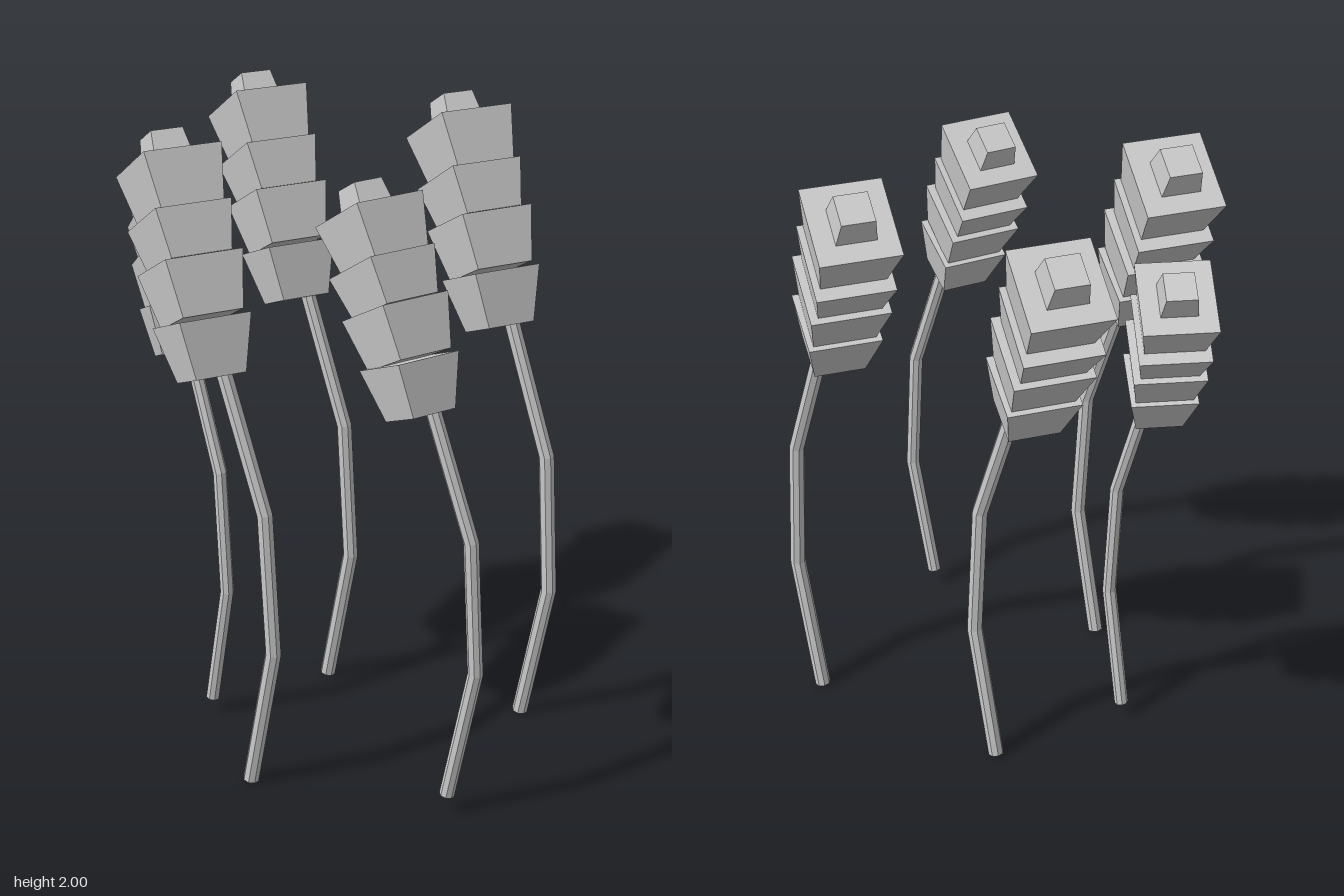
import * as THREE from 'three';

const material = new THREE.MeshStandardMaterial({ color: 0xcccccc, flatShading: true });

// Path made of straight pieces, sampled exactly at its corners
class BentPath extends THREE.Curve {
  constructor(points) {
    super();
    this.points = points;
  }
  getUtoTmapping(u) {
    return u;
  }
  getPoint(t, target = new THREE.Vector3()) {
    const n = this.points.length - 1;
    const i = Math.min(n - 1, Math.max(0, Math.floor(t * n)));
    return target.lerpVectors(this.points[i], this.points[i + 1], t * n - i);
  }
}

// Bent eight-sided stem with closed ends
function createStem() {
  const points = [[0, 0.005, 0], [0.045, 0.466, 0.077], [0.032, 0.92, 0.057], [-0.044, 1.37, -0.065]]
    .map(p => new THREE.Vector3(...p));
  const section = [];
  for (let i = 0; i < 8; i++) {
    const a = (i / 8) * Math.PI * 2;
    section.push(new THREE.Vector2(Math.cos(a) * 0.025, Math.sin(a) * 0.025));
  }
  const geometry = new THREE.ExtrudeGeometry(new THREE.Shape(section), {
    steps: points.length - 1, bevelEnabled: false, extrudePath: new BentPath(points),
  });
  const stem = new THREE.Mesh(geometry, material);
  stem.name = 'stem';
  return stem;
}

// Four-sided tapered block hanging below its top centre, leaning back
function createBlock(name, { y, z, tilt, height, width, depth, taper }) {
  const geometry = new THREE.CylinderGeometry(Math.SQRT1_2, Math.SQRT1_2 * taper, height, 4);
  geometry.rotateY(Math.PI / 4);
  geometry.scale(width, 1, depth);
  geometry.translate(0, -height / 2, 0);
  const block = new THREE.Mesh(geometry, material);
  block.name = name;
  block.position.set(-0.069, y, z);
  block.rotation.x = -THREE.MathUtils.degToRad(tilt);
  return block;
}

// Ear of grain: four flaring blocks and a small tip
function createEar() {
  const ear = new THREE.Group();
  ear.name = 'ear';
  const blocks = [
    { y: 1.481, z: -0.143, tilt: 22, height: 0.17, width: 0.225, depth: 0.22, taper: 0.7 },
    { y: 1.635, z: -0.22, tilt: 28, height: 0.17, width: 0.242, depth: 0.245, taper: 0.78 },
    { y: 1.759, z: -0.291, tilt: 31, height: 0.145, width: 0.237, depth: 0.258, taper: 0.8 },
    { y: 1.908, z: -0.36, tilt: 31, height: 0.17, width: 0.243, depth: 0.26, taper: 0.8 },
  ];
  blocks.forEach((b, i) => ear.add(createBlock(`earSegment${i + 1}`, b)));
  ear.add(createBlock('earTip',
    { y: 1.974, z: -0.408, tilt: 30, height: 0.1, width: 0.1, depth: 0.1, taper: 1.25 }));
  return ear;
}

export function createModel() {
  const model = new THREE.Group();
  model.name = 'wheatPatch';
  const stalk = new THREE.Group();
  stalk.add(createStem(), createEar());

  // Base position, turn and scale of each stalk
  const placements = [
    { name: 'leftStalk', at: [0.543, 0, 0.233], turn: 0, scale: 1 },
    { name: 'rightStalk', at: [-0.427, 0, 0.233], turn: 0, scale: 1 },
    { name: 'backStalk', at: [0.1, 0, -0.286], turn: 0, scale: 1 },
    { name: 'frontStalk', at: [0.024, 0.055, 0.668], turn: 0.13, scale: 0.93 },
    { name: 'backRightStalk', at: [-0.352, 0.048, -0.223], turn: -0.21, scale: 0.893 },
  ];
  for (const { name, at, turn, scale } of placements) {
    const copy = stalk.clone();
    copy.name = name;
    copy.position.set(...at);
    copy.rotation.y = turn;
    copy.scale.setScalar(scale);
    model.add(copy);
  }
  return model;
}
